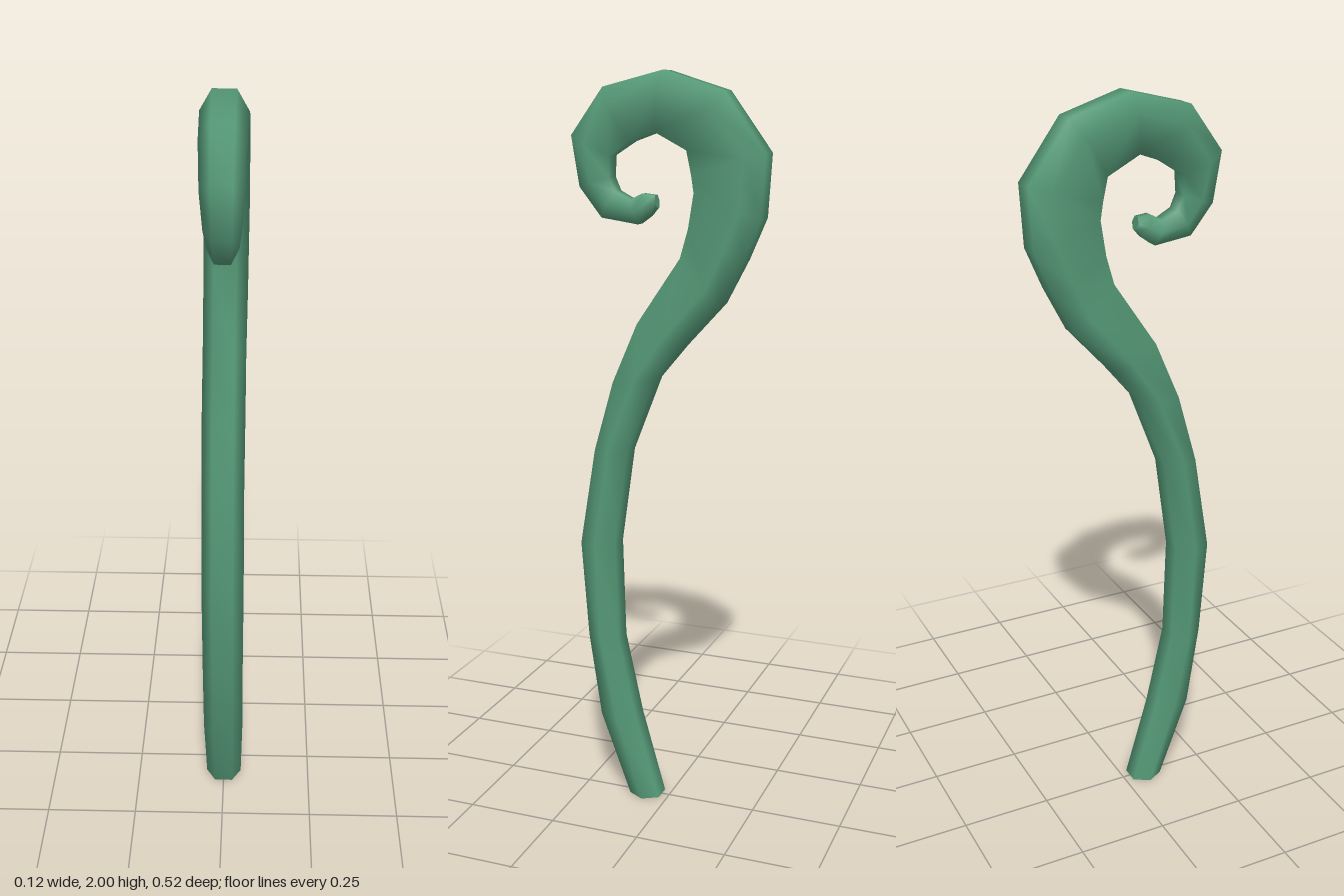
import * as THREE from 'three';

// Stations along the hooked stem: [inner z, inner y, outer z, outer y, half width]
const STATIONS = [
  // stem
  [0.11, 0, 0.022, 0, 0.05],
  [0.195, 0.235, 0.09, 0.235, 0.055],
  [0.23, 0.47, 0.14, 0.465, 0.055],
  [0.25, 0.74, 0.148, 0.745, 0.056],
  [0.205, 1.01, 0.11, 1.01, 0.055],
  [0.15, 1.2, 0.03, 1.215, 0.056],
  [0.08, 1.36, -0.045, 1.305, 0.056],
  // swelling neck
  [-0.04, 1.535, -0.15, 1.42, 0.058],
  [-0.062, 1.61, -0.21, 1.535, 0.059],
  [-0.077, 1.7, -0.255, 1.64, 0.06],
  [-0.07, 1.745, -0.265, 1.8, 0.06],
  // crook
  [-0.057, 1.805, -0.155, 1.95, 0.06],
  [0.03, 1.85, 0.005, 2, 0.059],
  [0.1, 1.825, 0.17, 1.96, 0.057],
  [0.155, 1.79, 0.26, 1.84, 0.053],
  [0.157, 1.735, 0.24, 1.71, 0.046],
  [0.14, 1.7, 0.18, 1.632, 0.04],
  [0.1, 1.68, 0.08, 1.617, 0.033],
  [0.07, 1.695, 0.05, 1.638, 0.027],
  [0.035, 1.692, 0.03, 1.66, 0.018],
];

// Six-sided section: the widest line lies close to the outer edge
function ring([iz, iy, oz, oy, w]) {
  const thickness = Math.hypot(iz - oz, iy - oy);
  const mid = Math.min(0.5, 0.05 / thickness);
  return [[-0.5, 0], [0.5, 0], [1, mid], [0.5, 1], [-0.5, 1], [-1, mid]]
    .map(([x, t]) => [x * w, oy + (iy - oy) * t, oz + (iz - oz) * t]);
}

function makeGeometry(points, index) {
  const geometry = new THREE.BufferGeometry();
  geometry.setAttribute('position', new THREE.Float32BufferAttribute(points.flat(), 3));
  geometry.setIndex(index);
  geometry.computeVertexNormals();
  return geometry;
}

// Skin joining neighbouring sections
function skinGeometry(rings) {
  const n = rings[0].length;
  const index = [];
  for (let i = 0; i < rings.length - 1; i++) {
    for (let k = 0; k < n; k++) {
      const a = i * n + k;
      const b = i * n + (k + 1) % n;
      index.push(a, a + n, b + n, a, b + n, b);
    }
  }
  return makeGeometry(rings.flat(), index);
}

// Flat end face
function capGeometry(points, flip) {
  const index = [];
  for (let k = 1; k < points.length - 1; k++) {
    index.push(0, flip ? k + 1 : k, flip ? k : k + 1);
  }
  return makeGeometry(points, index);
}

export function createModel() {
  const group = new THREE.Group();
  group.name = 'hookedStem';
  const green = new THREE.MeshStandardMaterial({ color: 0x559977 });
  const rings = STATIONS.map(ring);

  const add = (name, geometry) => {
    const mesh = new THREE.Mesh(geometry, green);
    mesh.name = name;
    group.add(mesh);
  };
  add('stem', skinGeometry(rings));
  add('stemFoot', capGeometry(rings[0], false));
  add('hookTip', capGeometry(rings[rings.length - 1], true));
  return group;
}
